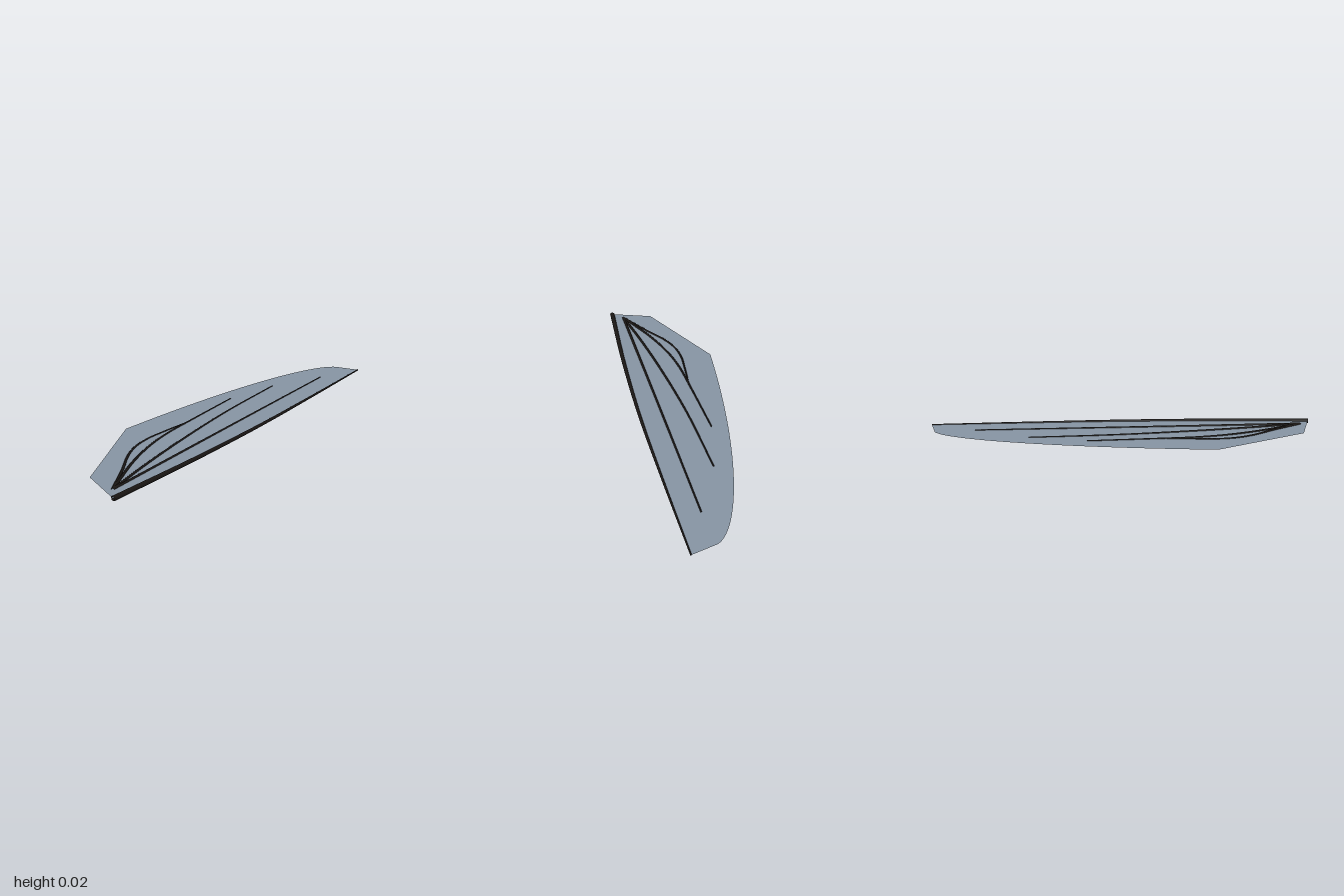
import * as THREE from 'three';

const MID_Y = 0.011; // height of the wing plane

const curveFrom = (points) =>
  new THREE.CatmullRomCurve3(points.map(([x, z]) => new THREE.Vector3(x, MID_Y, z)));

// Five-sided tube that narrows from its root to its tip
function taperedTube(name, curve, rootRadius, tipRadius, material) {
  const rings = 32, sides = 5;
  const geometry = new THREE.TubeGeometry(curve, rings, 1, sides, false);
  const pos = geometry.attributes.position;
  const v = new THREE.Vector3();
  for (let i = 0; i <= rings; i++) {
    const centre = curve.getPointAt(i / rings);
    const radius = THREE.MathUtils.lerp(rootRadius, tipRadius, i / rings);
    for (let j = 0; j <= sides; j++) {
      const k = i * (sides + 1) + j;
      v.fromBufferAttribute(pos, k).sub(centre).multiplyScalar(radius).add(centre);
      pos.setXYZ(k, v.x, v.y, v.z);
    }
  }
  const mesh = new THREE.Mesh(geometry, material);
  mesh.name = name;
  return mesh;
}

export function createModel() {
  const wing = new THREE.Group();
  wing.name = 'wing';
  const veinMaterial = new THREE.MeshStandardMaterial({ color: 0x1c1816, side: THREE.DoubleSide });
  const skinMaterial = new THREE.MeshStandardMaterial({ color: 0x8896a5, side: THREE.DoubleSide });

  // Thick spar along the front of the wing
  const leadingCurve = curveFrom([[-1, 0.257], [-0.5, 0.227], [0, 0.181], [0.5, 0.116], [1, 0.045]]);
  wing.add(taperedTube('leadingEdge', leadingCurve, 0.0135, 0.004, veinMaterial));

  // Flat membrane: root edge, curved trailing edge, tip, then back along the spar
  const outline = new THREE.Shape();
  outline.moveTo(-1, -0.257);
  outline.lineTo(-0.95, -0.03);
  outline.lineTo(-0.5, 0.268);
  outline.bezierCurveTo(0.3, 0.29, 0.87, 0.2, 0.95, 0.08);
  for (const p of leadingCurve.getPoints(24).reverse()) outline.lineTo(p.x, -p.z);
  const skin = new THREE.ShapeGeometry(outline, 32);
  skin.rotateX(-Math.PI / 2).translate(0, MID_Y, 0);
  const membrane = new THREE.Mesh(skin, skinMaterial);
  membrane.name = 'membrane';
  wing.add(membrane);

  // Veins fanning out from the wing root
  const root = [-0.95, 0.193];
  const veins = [
    [[-0.4, 0.118], [0, 0.064], [0.75, -0.036]],
    [[-0.7, 0.113], [-0.4, 0.03], [0, -0.063], [0.45, -0.14]],
    [[-0.72, 0.05], [-0.55, -0.03], [-0.4, -0.077], [-0.2, -0.115], [0.15, -0.176]],
    [[-0.8, 0.075], [-0.69, -0.02], [-0.6, -0.073], [-0.5, -0.1], [-0.4, -0.106], [-0.22, -0.109]],
  ];
  veins.forEach((points, i) => {
    wing.add(taperedTube(`vein${i + 1}`, curveFrom([root, ...points]), 0.008, 0.004, veinMaterial));
  });

  return wing;
}
